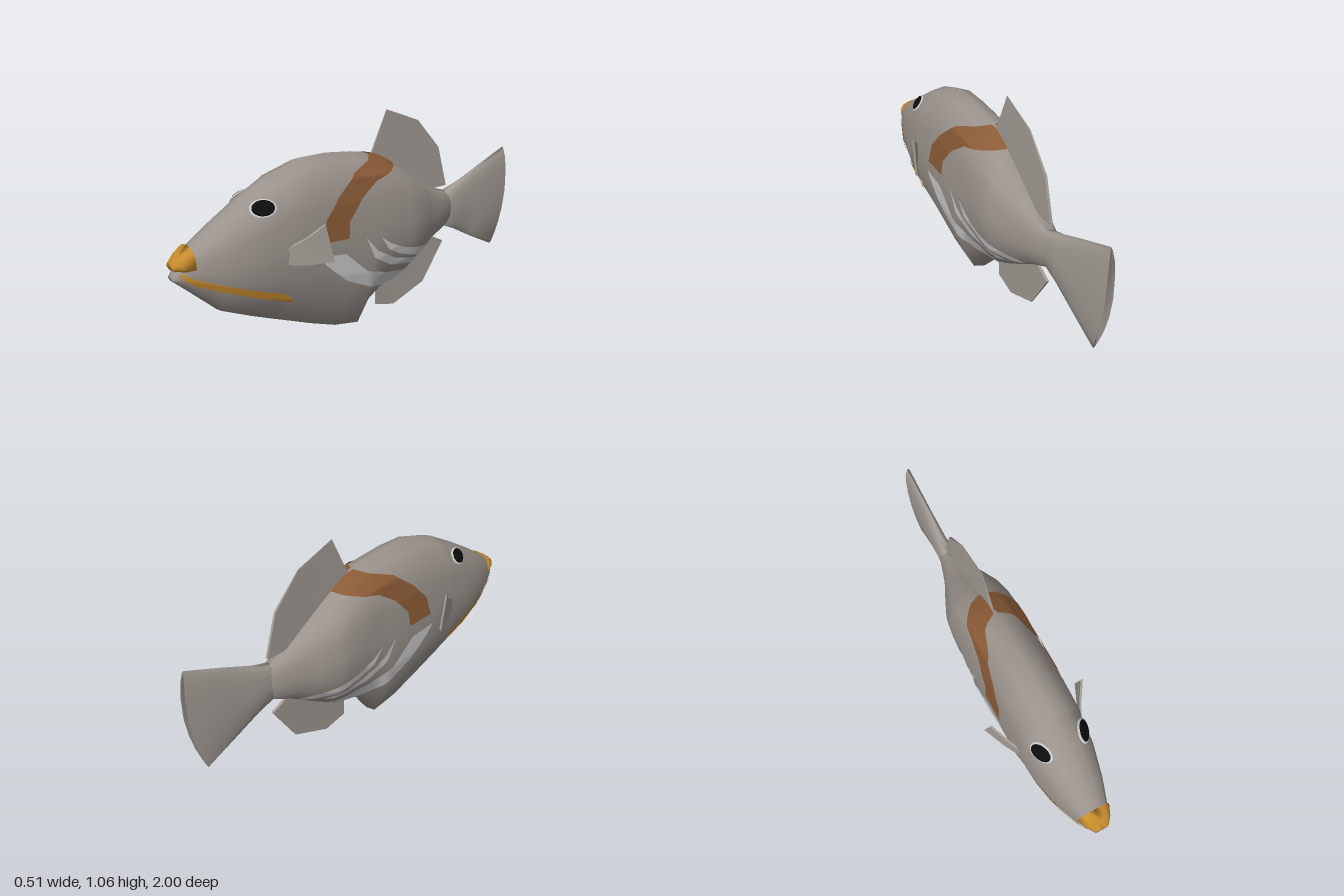
import * as THREE from 'three';
import { toCreasedNormals } from 'three/addons/utils/BufferGeometryUtils.js';

const mat = (color) => new THREE.MeshStandardMaterial({ color, side: THREE.DoubleSide });
const skin = mat(0x9a928c), finSkin = mat(0xa39c95), orange = mat(0xc58a2c);
const brown = mat(0x8a5a36), pale = mat(0xcccccc), black = mat(0x0c0c0c);

// Half cross-section: [depth below the top 0..1, share of the half width]
const PROFILE = [[0, 0], [0.03, 0.38], [0.11, 0.74], [0.25, 0.9], [0.45, 1],
  [0.63, 0.97], [0.78, 0.83], [0.9, 0.58], [0.98, 0.36], [1, 0]];

// Body sections from nose to tail root: [z, bottom, top, half width]
const BODY = [
  [1, 0.475, 0.492, 0.028], [0.92, 0.4, 0.605, 0.078], [0.8, 0.285, 0.685, 0.122],
  [0.65, 0.215, 0.775, 0.157], [0.53, 0.162, 0.84, 0.164], [0.5, 0.15, 0.857, 0.172],
  [0.34, 0.08, 0.905, 0.172], [0.2, 0.026, 0.905, 0.172], [0.06, 0, 0.888, 0.172],
  [0, 0.105, 0.877, 0.172], [-0.1, 0.175, 0.845, 0.17], [-0.2, 0.2, 0.79, 0.168],
  [-0.26, 0.225, 0.748, 0.16], [-0.35, 0.275, 0.685, 0.122], [-0.45, 0.335, 0.615, 0.077],
  [-0.57, 0.39, 0.57, 0.042],
];

// Linear lookup in a table of rows sorted by their first number
function lookup(rows, key, col) {
  const dir = rows[0][0] < rows[1][0] ? 1 : -1;
  let i = 1;
  while (i < rows.length - 1 && (rows[i][0] - key) * dir < 0) i++;
  const a = rows[i - 1], b = rows[i];
  const t = THREE.MathUtils.clamp((key - a[0]) / (b[0] - a[0]), 0, 1);
  return a[col] + (b[col] - a[col]) * t;
}

// Skin over sections, closed at both ends; bend(z, v) may shift z
function loft(sections, bend = (z) => z) {
  const ring = [...PROFILE, ...PROFILE.slice(1, -1).reverse().map(([v, w]) => [v, -w])];
  const n = ring.length, pos = [], idx = [];
  for (const [z, lo, hi, w] of sections) {
    for (const [v, s] of ring) pos.push(s * w, hi + (lo - hi) * v, bend(z, v));
  }
  for (let i = 0; i < sections.length - 1; i++) {
    for (let j = 0; j < n; j++) {
      const a = i * n + j, b = i * n + (j + 1) % n;
      idx.push(a, b, a + n, b, b + n, a + n);
    }
  }
  const last = (sections.length - 1) * n;
  for (let j = 1; j < n - 1; j++) idx.push(0, j + 1, j, last, last + j, last + j + 1);
  const g = new THREE.BufferGeometry();
  g.setAttribute('position', new THREE.Float32BufferAttribute(pos, 3));
  g.setIndex(idx);
  g.computeVertexNormals();
  return g;
}

// Point on the left flank at side coordinates (z, y), slightly lifted
function onBody(z, y, lift) {
  const lo = lookup(BODY, z, 1), hi = lookup(BODY, z, 2);
  const v = THREE.MathUtils.clamp((hi - y) / (hi - lo), 0, 1);
  return [lookup(BODY, z, 3) * lookup(PROFILE, v, 1) + lift,
    hi + (lo - hi) * v + lift * (1 - 2 * v), z];
}

// Stripe between two polylines with equally many (z, y) points, laid on the flank
function stripe(upper, lower) {
  const step = 8, across = 8, along = (upper.length - 1) * step, pos = [], idx = [];
  const at = (line, t) => {
    const i = Math.min(Math.floor(t), line.length - 2), f = t - i;
    return [0, 1].map((k) => line[i][k] * (1 - f) + line[i + 1][k] * f);
  };
  for (let i = 0; i <= along; i++) {
    const u = at(upper, i / step), l = at(lower, i / step);
    for (let j = 0; j <= across; j++) {
      const f = j / across;
      pos.push(...onBody(u[0] + (l[0] - u[0]) * f, u[1] + (l[1] - u[1]) * f, 0.005));
      if (i < along && j < across) {
        const a = i * (across + 1) + j, c = a + across + 1;
        idx.push(a, a + 1, c, a + 1, c + 1, c);
      }
    }
  }
  const g = new THREE.BufferGeometry();
  g.setAttribute('position', new THREE.Float32BufferAttribute(pos, 3));
  g.setIndex(idx);
  g.computeVertexNormals();
  return g;
}

// Thin fin from a (z, y) outline; rule(x, y, z) gives the new x
function fin(points, thickness, rule) {
  const shape = new THREE.Shape(points.map(([z, y]) => new THREE.Vector2(z, y)));
  const g = new THREE.ExtrudeGeometry(shape, { depth: thickness, bevelEnabled: false });
  g.translate(0, 0, -thickness / 2).rotateY(-Math.PI / 2);
  const p = g.attributes.position;
  for (let i = 0; i < p.count; i++) p.setX(i, rule(p.getX(i), p.getY(i), p.getZ(i)));
  return toCreasedNormals(g, 0.6);
}

export function createModel() {
  const fish = new THREE.Group();
  fish.name = 'fish';
  const add = (name, geometry, material, parent = fish) => {
    const mesh = new THREE.Mesh(geometry, material);
    mesh.name = name;
    parent.add(mesh);
    return mesh;
  };

  // Body, upper lip and fanned tail
  add('body', loft(BODY), skin);
  add('upperLip', loft([[1, 0.525, 0.555, 0.032], [0.965, 0.508, 0.585, 0.06],
    [0.915, 0.48, 0.618, 0.082]]), orange);
  const tail = [[-0.54, 0.385, 0.575, 0.044], [-0.65, 0.345, 0.61, 0.034],
    [-0.8, 0.275, 0.67, 0.026], [-1, 0.19, 0.745, 0.02]];
  add('tailFin', loft(tail, (z, v) =>
    z + (-0.54 - z) / 0.46 * (0.18 * v * v - 0.12 * v + 0.02)), finSkin);

  // Fins on the back and the belly, thinning to the tip
  add('dorsalFin', fin([[-0.06, 0.84], [-0.16, 1.06], [-0.36, 0.98], [-0.5, 0.82],
    [-0.56, 0.605], [-0.4, 0.605], [-0.22, 0.74]], 0.014,
  (x, y) => x * THREE.MathUtils.clamp((1.08 - y) / 0.3, 0.1, 1)), finSkin);
  add('analFin', fin([[-0.1, 0.21], [-0.1, 0.045], [-0.22, 0.012], [-0.42, 0.09],
    [-0.55, 0.295], [-0.44, 0.355], [-0.25, 0.26]], 0.014,
  (x, y) => x * THREE.MathUtils.clamp(y / 0.25, 0.1, 1)), finSkin);

  // Parts of one flank, then mirrored
  const pectoral = fin([[0.52, 0.555], [0.44, 0.6], [0.37, 0.66], [0.33, 0.478],
    [0.44, 0.472], [0.52, 0.48]], 0.012,
  (x, y, z) => x + lookup([[0.33, 0.249], [0.37, 0.24], [0.44, 0.2], [0.52, 0.158]], z, 1));
  const cheek = stripe([[0.97, 0.515], [0.92, 0.485], [0.51, 0.33]],
    [[0.97, 0.49], [0.92, 0.455], [0.49, 0.282]]);
  const band = stripe(
    [[-0.06, 0.87], [0.12, 0.815], [0.23, 0.73], [0.31, 0.64], [0.335, 0.54]],
    [[-0.18, 0.8], [0, 0.765], [0.1, 0.7], [0.18, 0.61], [0.19, 0.53]]);
  const flankStripes = [
    stripe([[0.36, 0.48], [0.21, 0.46], [0.08, 0.34], [-0.1, 0.275], [-0.27, 0.24]],
      [[0.32, 0.43], [0.2, 0.32], [0.04, 0.24], [-0.1, 0.19], [-0.22, 0.215]]),
    stripe([[0.09, 0.51], [0.02, 0.43], [-0.1, 0.36], [-0.31, 0.3]],
      [[0.09, 0.51], [0.04, 0.4], [-0.08, 0.325], [-0.25, 0.285]]),
    stripe([[0, 0.495], [-0.06, 0.45], [-0.14, 0.41], [-0.28, 0.37], [-0.43, 0.34]],
      [[0, 0.495], [-0.05, 0.42], [-0.13, 0.375], [-0.27, 0.325], [-0.38, 0.32]]),
  ];
  const ball = new THREE.SphereGeometry(1, 24, 16);

  for (const side of [1, -1]) {
    const flank = new THREE.Group();
    flank.name = side > 0 ? 'leftSide' : 'rightSide';
    flank.scale.x = side;
    fish.add(flank);
    add('pectoralFin', pectoral, finSkin, flank);
    add('cheekStripe', cheek, orange, flank);
    add('shoulderBand', band, brown, flank);
    flankStripes.forEach((g, i) => add('flankStripe' + (i + 1), g, pale, flank));

    // Oval eye with a pale rim, facing outward and up
    const eye = new THREE.Group();
    eye.name = 'eye';
    eye.position.set(...onBody(0.6, 0.745, 0));
    eye.lookAt(eye.position.clone().add(new THREE.Vector3(0.7, 0.62, 0.3)));
    add('eyeRim', ball, pale, eye).scale.set(0.061, 0.045, 0.011);
    add('pupil', ball, black, eye).scale.set(0.056, 0.041, 0.015);
    flank.add(eye);
  }
  return fish;
}
